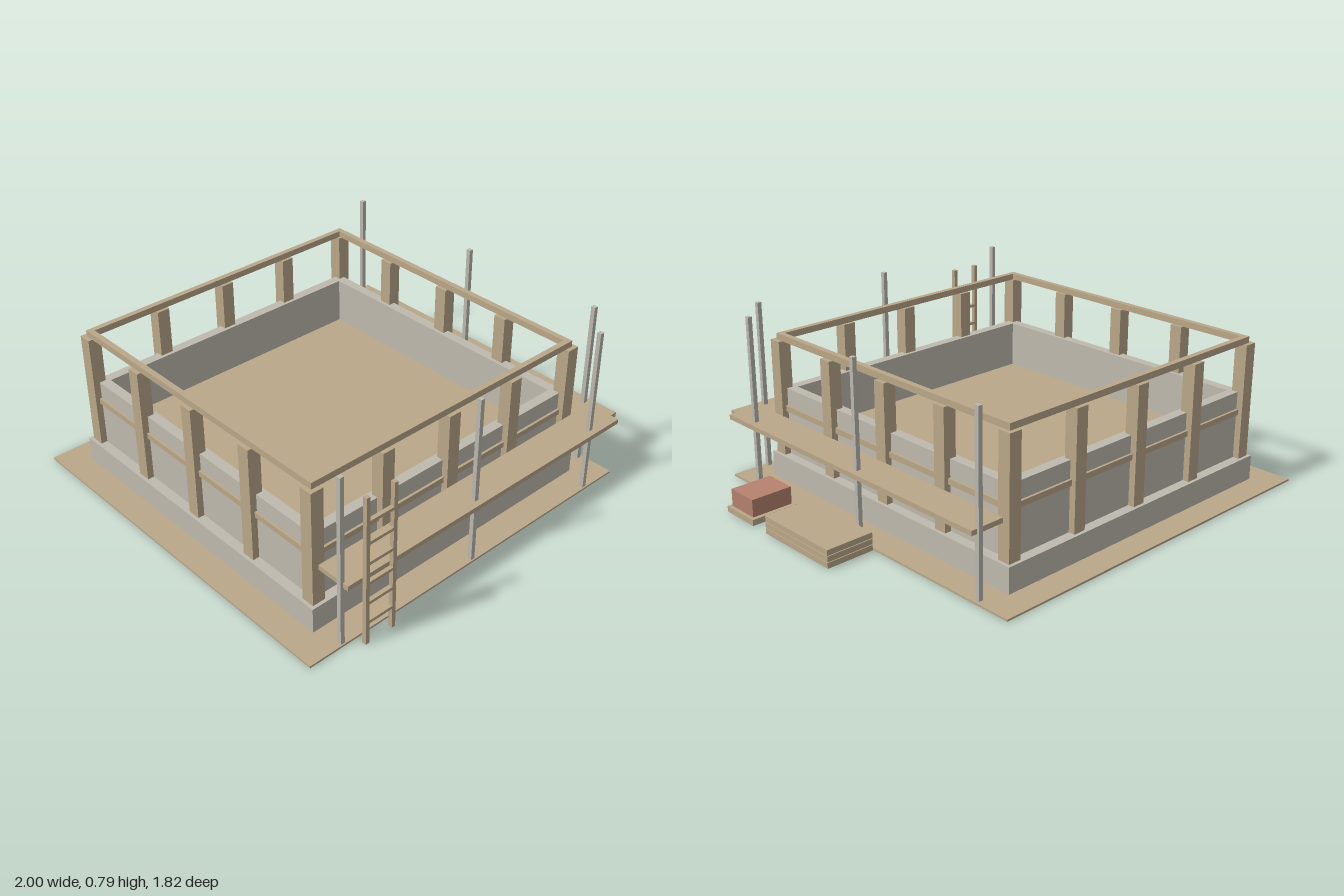
import * as THREE from 'three';

export function createModel() {
  const root = new THREE.Group();
  root.name = 'buildingSite';

  const mat = (name, color) => {
    const m = new THREE.MeshStandardMaterial({ color });
    m.name = name;
    return m;
  };
  const timber = mat('timber', 0xbaa789);
  const concrete = mat('concrete', 0xbfbaae);
  const steel = mat('steel', 0xbbb8af);
  const brick = mat('brick', 0xb6826e);

  const group = (name) => {
    const g = new THREE.Group();
    g.name = name;
    root.add(g);
    return g;
  };

  // Box given by its limits on each axis
  const box = (parent, name, material, [x0, x1], [y0, y1], [z0, z1]) => {
    const mesh = new THREE.Mesh(new THREE.BoxGeometry(x1 - x0, y1 - y0, z1 - z0), material);
    mesh.position.set((x0 + x1) / 2, (y0 + y1) / 2, (z0 + z1) / 2);
    mesh.name = name;
    parent.add(mesh);
    return mesh;
  };

  // Centre of the square house
  const cx = -0.116, cz = -0.027;

  // Square ring with an open middle, centred on the house
  const ring = (name, outer, inner, y0, y1) => {
    const square = (Type, h) => new Type([
      new THREE.Vector2(-h, -h), new THREE.Vector2(h, -h),
      new THREE.Vector2(h, h), new THREE.Vector2(-h, h),
    ]);
    const shape = square(THREE.Shape, outer);
    shape.holes.push(square(THREE.Path, inner));
    const geo = new THREE.ExtrudeGeometry(shape, { depth: y1 - y0, bevelEnabled: false });
    geo.rotateX(-Math.PI / 2);
    const mesh = new THREE.Mesh(geo, concrete);
    mesh.position.set(cx, y0, cz);
    mesh.name = name;
    root.add(mesh);
  };

  // Ground board, footing, walls and floor
  box(root, 'groundBoard', timber, [-1, 0.773], [0.001, 0.01], [-0.91, 0.858]);
  ring('footingBase', 0.72, 0.61, 0, 0.01);
  ring('footing', 0.759, 0.61, 0.01, 0.125);
  ring('wall', 0.714, 0.668, 0.125, 0.435);
  box(root, 'floor', timber, [cx - 0.668, cx + 0.668], [0.205, 0.218], [cz - 0.668, cz + 0.668]);

  // Timber frame: posts round the edge, one top rail and one middle rail per side
  const frame = group('timberFrame');
  const half = 0.714, post = 0.03, railLine = 0.712, rail = 0.013;
  for (let i = 0; i < 5; i++) {
    for (let j = 0; j < 5; j++) {
      if (i % 4 && j % 4) continue;
      const x = cx + (i - 2) * half / 2, z = cz + (j - 2) * half / 2;
      box(frame, 'post', timber, [x - post, x + post], [0.125, 0.655], [z - post, z + post]);
    }
  }
  for (const [name, y0, y1] of [['topRail', 0.655, 0.684], ['middleRail', 0.33, 0.356]]) {
    for (const s of [-1, 1]) {
      const x = cx + s * railLine, z = cz + s * railLine, r = railLine + rail;
      box(frame, name, timber, [cx - r, cx + r], [y0, y1], [z - rail, z + rail]);
      box(frame, name, timber, [x - rail, x + rail], [y0, y1], [cz - r, cz + r]);
    }
  }

  // Scaffold along the front and the left side
  const scaffold = group('scaffold');
  const poles = [
    [-0.832, 0.842], [-0.117, 0.842], [0.598, 0.842],
    [0.75, -0.737], [0.75, -0.025], [0.75, 0.69],
  ];
  for (const [x, z] of poles) {
    box(scaffold, 'pole', steel, [x - 0.01, x + 0.01], [0, 0.79], [z - 0.01, z + 0.01]);
  }
  box(scaffold, 'frontWalkway', timber, [-0.83, 0.752], [0.288, 0.31], [0.717, 0.879]);
  box(scaffold, 'sideWalkway', timber, [0.626, 0.788], [0.288, 0.31], [-0.738, 0.839]);

  // Ladder
  const ladder = group('ladder');
  for (const x of [-0.757, -0.621]) {
    box(ladder, 'ladderRail', timber, [x - 0.009, x + 0.009], [0, 0.695], [0.888, 0.908]);
  }
  for (let i = 0; i < 6; i++) {
    const y = 0.104 + i * 0.095;
    box(ladder, 'rung', timber, [-0.75, -0.63], [y - 0.007, y + 0.007], [0.889, 0.907]);
  }

  // Stack of boards
  const stack = group('boardStack');
  for (let i = 0; i < 3; i++) {
    const y = i * 0.028;
    box(stack, 'board', timber, [0.775, 1], [y, y + 0.025], [-0.14, 0.28]);
  }

  // Bricks on a pallet
  const bricks = group('brickPallet');
  box(bricks, 'pallet', timber, [0.775, 1], [0, 0.027], [0.375, 0.565]);
  box(bricks, 'bricks', brick, [0.788, 0.984], [0.027, 0.107], [0.395, 0.55]);

  return root;
}
